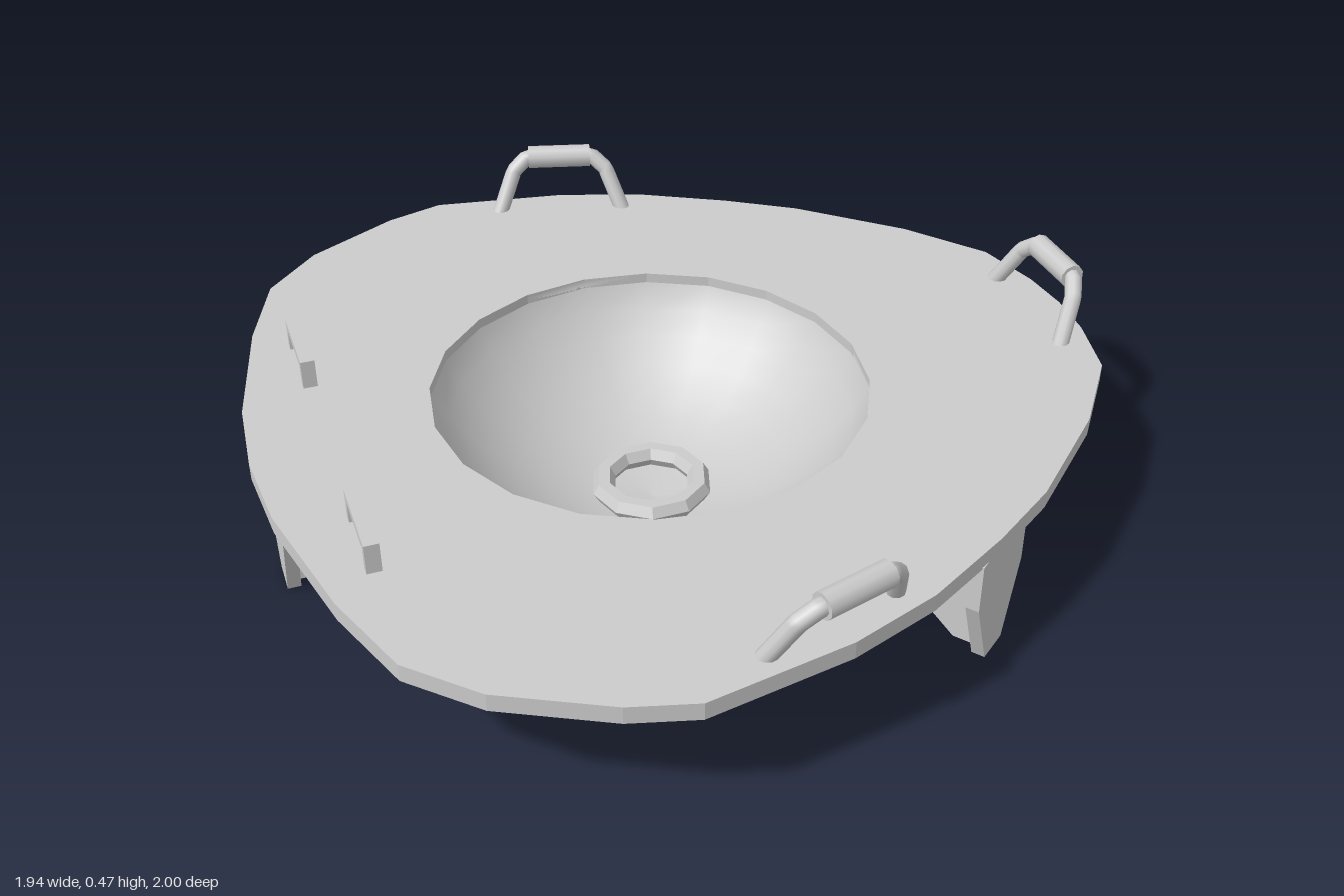
import * as THREE from 'three';

const grey = new THREE.MeshStandardMaterial({ color: 0xcccccc, side: THREE.DoubleSide });
const grey2 = new THREE.MeshStandardMaterial({ color: 0xcccccc, flatShading: true });

const BOWL_X = -0.075, BOWL_R = 0.495, TOP = 0.32;

function mesh(name, geometry, material = grey2) {
  const m = new THREE.Mesh(geometry, material);
  m.name = name;
  return m;
}

function group(name, ...children) {
  const g = new THREE.Group();
  g.name = name;
  if (children.length) g.add(...children);
  return g;
}

function polygon(points) {
  return new THREE.Shape(points.map(([x, y]) => new THREE.Vector2(x, y)));
}

// Rounded three-sided deck with a round opening for the bowl
function deck() {
  const half = [
    [0.92, 0.28], [0.78, 0.46], [0.56, 0.66], [0.4, 0.765], [0.2, 0.875], [0, 0.945],
    [-0.32, 1], [-0.46, 0.96], [-0.68, 0.845], [-0.81, 0.715], [-0.885, 0.51], [-0.955, 0.2],
  ];
  const mirrored = half.map(([x, y]) => [x, -y]).reverse();
  const shape = polygon([[0.97, 0], [0.96, 0.12], ...half, [-0.97, 0], ...mirrored, [0.96, -0.12]]);
  const hole = new THREE.Path();
  for (let i = 0; i < 20; i++) {
    const a = -i / 20 * Math.PI * 2;
    const x = BOWL_X + BOWL_R * Math.cos(a), y = BOWL_R * Math.sin(a);
    if (i) hole.lineTo(x, y); else hole.moveTo(x, y);
  }
  hole.closePath();
  shape.holes.push(hole);
  const geo = new THREE.ExtrudeGeometry(shape, { depth: 0.04, bevelEnabled: false });
  geo.rotateX(-Math.PI / 2).translate(0, TOP - 0.04, 0);
  return mesh('deck', geo);
}

// Spherical basin with a drain ring on its floor
function basin() {
  const R = 0.567, profile = [];
  for (const r of [0, 0.1, 0.17, 0.24, 0.31, 0.37, 0.42, 0.46, BOWL_R]) {
    profile.push(new THREE.Vector2(r, 0.005 + R - Math.sqrt(R * R - r * r)));
  }
  profile.push(new THREE.Vector2(BOWL_R, TOP - 0.003));
  const bowl = mesh('bowl', new THREE.LatheGeometry(profile, 20, Math.PI / 2), grey);
  const ring = mesh('drainRing', new THREE.TorusGeometry(0.115, 0.027, 6, 10).rotateX(Math.PI / 2));
  ring.position.y = 0.045;
  const g = group('basin', bowl, ring);
  g.position.x = BOWL_X;
  return g;
}

// Cylinder between two points
function rod(name, a, b, radius) {
  const from = new THREE.Vector3(...a), to = new THREE.Vector3(...b);
  const dir = to.clone().sub(from);
  const geo = new THREE.CylinderGeometry(radius, radius, dir.length(), 10);
  const m = mesh(name, geo, grey);
  m.position.copy(from).add(to).multiplyScalar(0.5);
  m.quaternion.setFromUnitVectors(new THREE.Vector3(0, 1, 0), dir.normalize());
  return m;
}

// Carrying handle leaning outward along +x
function carryHandle(x, z, turn) {
  const path = [[-0.005, -0.02, 0.165], [0.045, 0.09, 0.12], [0.062, 0.12, 0.085]]
    .map(p => new THREE.Vector3(...p));
  const all = [...path, ...path.slice().reverse().map(p => new THREE.Vector3(p.x, p.y, -p.z))];
  const curve = new THREE.CurvePath();
  for (let i = 1; i < all.length; i++) curve.add(new THREE.LineCurve3(all[i - 1], all[i]));
  const bar = mesh('handleBar', new THREE.TubeGeometry(curve, 48, 0.02, 10), grey);
  const grip = rod('handleGrip', [0.062, 0.12, -0.08], [0.062, 0.12, 0.08], 0.029);
  const g = group('carryHandle', bar, grip);
  g.position.set(x, TOP, z);
  g.rotation.y = turn;
  return g;
}

// Small square staple handle
function stapleHandle(z) {
  const g = group('stapleHandle');
  const top = mesh('stapleBar', new THREE.BoxGeometry(0.032, 0.02, 0.195));
  top.position.y = 0.058;
  g.add(top);
  for (const s of [-1, 1]) {
    const post = mesh('staplePost', new THREE.BoxGeometry(0.032, 0.058, 0.022));
    post.position.set(0, 0.025, s * 0.0865);
    g.add(post);
  }
  g.position.set(-0.795, TOP, z);
  return g;
}

// Leg: tapered outer plate with a triangular fin running inward
function leg(x, z, turn) {
  const H = 0.285;
  const plateShape = polygon([
    [-0.04, 0], [0.04, 0], [0.105, 0.17], [0.105, H], [-0.105, H], [-0.105, 0.17],
  ]);
  const plate = new THREE.ExtrudeGeometry(plateShape, { depth: 0.03, bevelEnabled: false });
  plate.rotateY(Math.PI / 2).translate(-0.03, 0, 0);
  const finShape = polygon([[-0.02, 0], [-0.085, 0], [-0.345, 0.215], [-0.345, H], [-0.02, H]]);
  const fin = new THREE.ExtrudeGeometry(finShape, { depth: 0.03, bevelEnabled: false });
  fin.translate(0, 0, -0.015);
  const g = group('leg', mesh('legPlate', plate), mesh('legFin', fin));
  g.position.set(x, 0, z);
  g.rotation.y = turn;
  return g;
}

export function createModel() {
  const model = group('basinTable', deck(), basin());
  model.add(carryHandle(0.88, 0, 0), leg(-0.935, 0, Math.PI));
  for (const s of [-1, 1]) {
    model.add(carryHandle(-0.02, s * 0.875, -s * 1.297));
    model.add(leg(0.43, s * 0.735, -s * 0.92));
    model.add(stapleHandle(s * 0.345));
  }
  return model;
}
